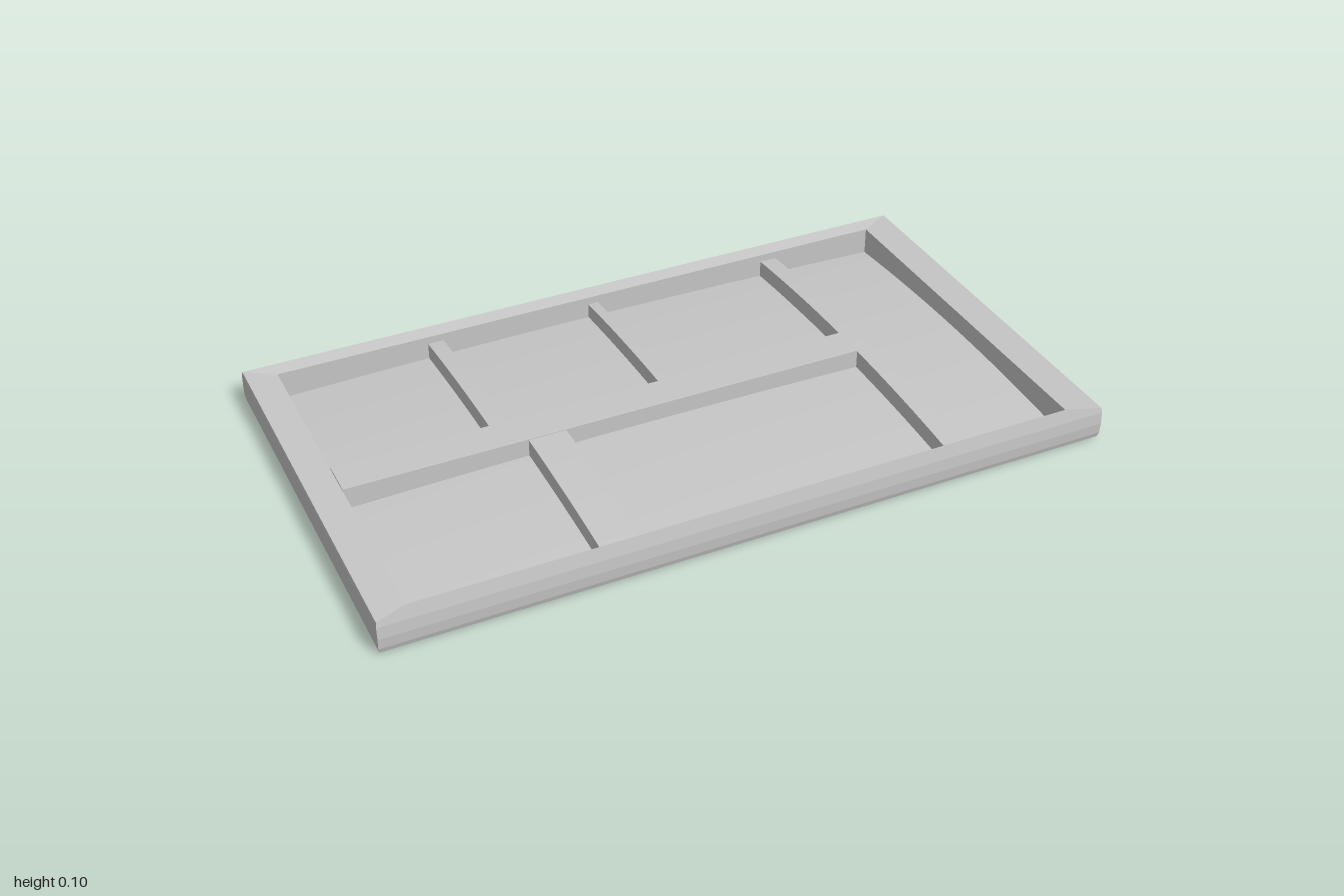
import * as THREE from 'three';

const INNER_X = 0.913;
const INNER_Z = 0.523;

// Solid running from x0 to x1 whose top is a shallow arch across z
function archedBar(name, material, [x0, x1], [z0, z1], base, crown, drop) {
  const steps = 12;
  const shape = new THREE.Shape();
  shape.moveTo(-z1, base);
  shape.lineTo(-z0, base);
  for (let i = 0; i <= steps; i++) {
    const z = z0 + (z1 - z0) * i / steps;
    shape.lineTo(-z, crown - drop * (z / INNER_Z) ** 2);
  }
  const geometry = new THREE.ExtrudeGeometry(shape, { depth: x1 - x0, bevelEnabled: false });
  geometry.rotateY(Math.PI / 2).translate(x0, 0, 0);
  const mesh = new THREE.Mesh(geometry, material);
  mesh.name = name;
  return mesh;
}

// Rectangular frame swept from a profile of [half width, half depth, y]
function frameGeometry(profile) {
  const corners = [[1, 1], [1, -1], [-1, -1], [-1, 1]];
  const point = (p, c) => [p[0] * c[0], p[2], p[1] * c[1]];
  const positions = [];
  for (let i = 0; i < profile.length - 1; i++) {
    const low = profile[i], high = profile[i + 1];
    corners.forEach((c, j) => {
      const d = corners[(j + 1) % 4];
      const a = point(low, c), b = point(low, d), e = point(high, d), f = point(high, c);
      positions.push(...a, ...b, ...e, ...a, ...e, ...f);
    });
  }
  const geometry = new THREE.BufferGeometry();
  geometry.setAttribute('position', new THREE.Float32BufferAttribute(positions, 3));
  geometry.computeVertexNormals();
  return geometry;
}

// Floor pane that swells toward its middle
function domedPane() {
  const geometry = new THREE.PlaneGeometry(2 * INNER_X, 2 * INNER_Z, 24, 16);
  geometry.rotateX(-Math.PI / 2);
  const p = geometry.attributes.position;
  for (let i = 0; i < p.count; i++) {
    const u = p.getX(i) / INNER_X, w = p.getZ(i) / INNER_Z;
    p.setY(i, 0.01 + 0.014 * (1 - u * u) + 0.022 * (1 - w * w));
  }
  geometry.computeVertexNormals();
  return geometry;
}

export function createModel() {
  const grey = new THREE.MeshStandardMaterial({ color: 0xc6c6c6 });
  grey.name = 'grey';
  const group = new THREE.Group();
  group.name = 'dividedTray';

  // Outer frame: bulging sides and a rim that slopes gently inward
  const frame = new THREE.Mesh(frameGeometry([
    [INNER_X, INNER_Z, 0],
    [0.985, 0.552, 0.001],
    [0.997, 0.563, 0.004],
    [1, 0.567, 0.018],
    [1, 0.569, 0.048],
    [1, 0.567, 0.082],
    [0.998, 0.564, 0.096],
    [INNER_X, INNER_Z, 0.089],
    [INNER_X, INNER_Z, 0.01],
  ]), grey);
  frame.name = 'outerFrame';
  group.add(frame);

  // Domed floor
  const floor = new THREE.Mesh(domedPane(), grey);
  floor.name = 'floor';
  group.add(floor);

  // Flat underside
  const underside = new THREE.Mesh(
    new THREE.PlaneGeometry(2 * INNER_X, 2 * INNER_Z).rotateX(Math.PI / 2), grey);
  underside.name = 'underside';
  group.add(underside);

  // Long divider down the middle
  group.add(archedBar('longDivider', grey, [-INNER_X, 0.558], [-0.05, 0.05], 0.02, 0.094, 0.02));

  // Cross dividers: x range, z range
  const crossDividers = [
    [[0.555, 0.605], [-INNER_Z, INNER_Z]],
    [[-0.485, -0.44], [-INNER_Z, -0.05]],
    [[0, 0.03], [-INNER_Z, -0.05]],
    [[-0.415, -0.31], [0.05, INNER_Z]],
  ];
  crossDividers.forEach(([x, z], i) => {
    group.add(archedBar('crossDivider' + (i + 1), grey, x, z, 0.01, 0.092, 0.025));
  });

  return group;
}
